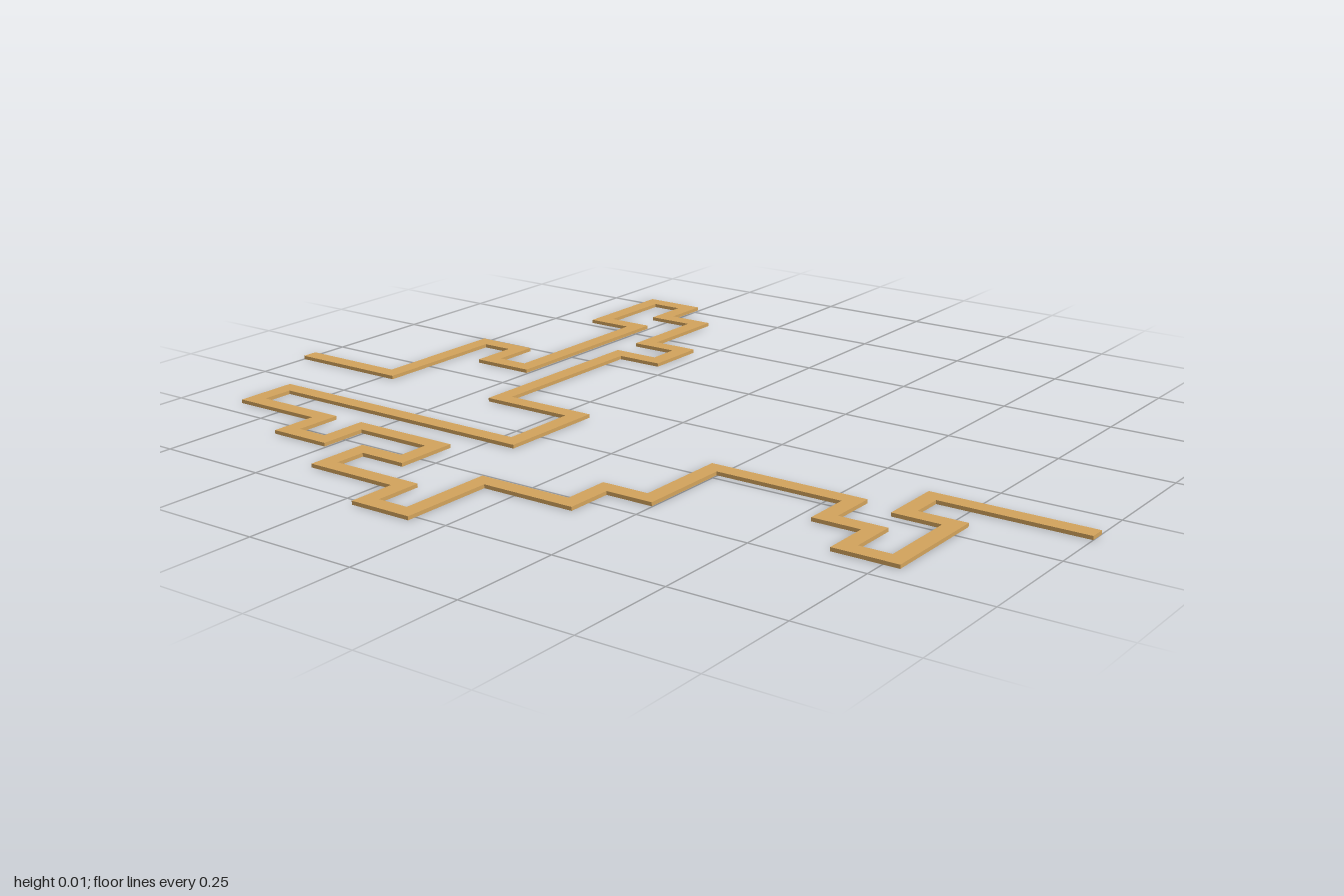
import * as THREE from 'three';

const CELL = 0.1075, HALF = 0.018, THICK = 0.008;
const colX = (c) => (c - 7) * CELL;
const rowZ = (r) => -0.845 + r * CELL;

// Right-angled route: each pair is the next row to run to, then the next column
const TURNS = [
  [1, 9], [2, 8], [3, 12], [2, 14], [3, 13], [4, 11], [5, 10], [4, 6],
  [6, 4], [0, 3], [2, 2], [3, 3], [5, 2], [4, 1], [6, 0], [7, 2],
  [9, 3], [10, 5], [13, 4], [14, 3], [15, 5], [14, 6],
];

// Centre line in shape space (shape y = -z)
function centreLine() {
  let x = colX(6);
  const pts = [new THREE.Vector2(x, 1)];
  for (const [row, col] of TURNS) {
    pts.push(new THREE.Vector2(x, -rowZ(row)));
    x = colX(col);
    pts.push(new THREE.Vector2(x, -rowZ(row)));
  }
  pts.push(new THREE.Vector2(x, -1));
  return pts;
}

// One mitred edge of the strip; at a square corner the two normals simply add
function offsetLine(pts, d) {
  const normal = (i) => {
    const v = pts[i + 1].clone().sub(pts[i]).normalize();
    return new THREE.Vector2(-v.y, v.x);
  };
  return pts.map((p, i) => {
    const n = new THREE.Vector2();
    if (i > 0) n.add(normal(i - 1));
    if (i < pts.length - 1) n.add(normal(i));
    return p.clone().addScaledVector(n, d);
  });
}

export function createModel() {
  const group = new THREE.Group();
  group.name = 'windingPath';

  const line = centreLine();
  const outline = [...offsetLine(line, -HALF), ...offsetLine(line, HALF).reverse()];

  // Flat strip lying on the ground
  const geometry = new THREE.ExtrudeGeometry(new THREE.Shape(outline), {
    depth: THICK, bevelEnabled: false,
  });
  geometry.rotateX(-Math.PI / 2);

  const strip = new THREE.Mesh(geometry, new THREE.MeshStandardMaterial({ color: 0xd2a35c }));
  strip.name = 'pathStrip';
  group.add(strip);
  return group;
}
